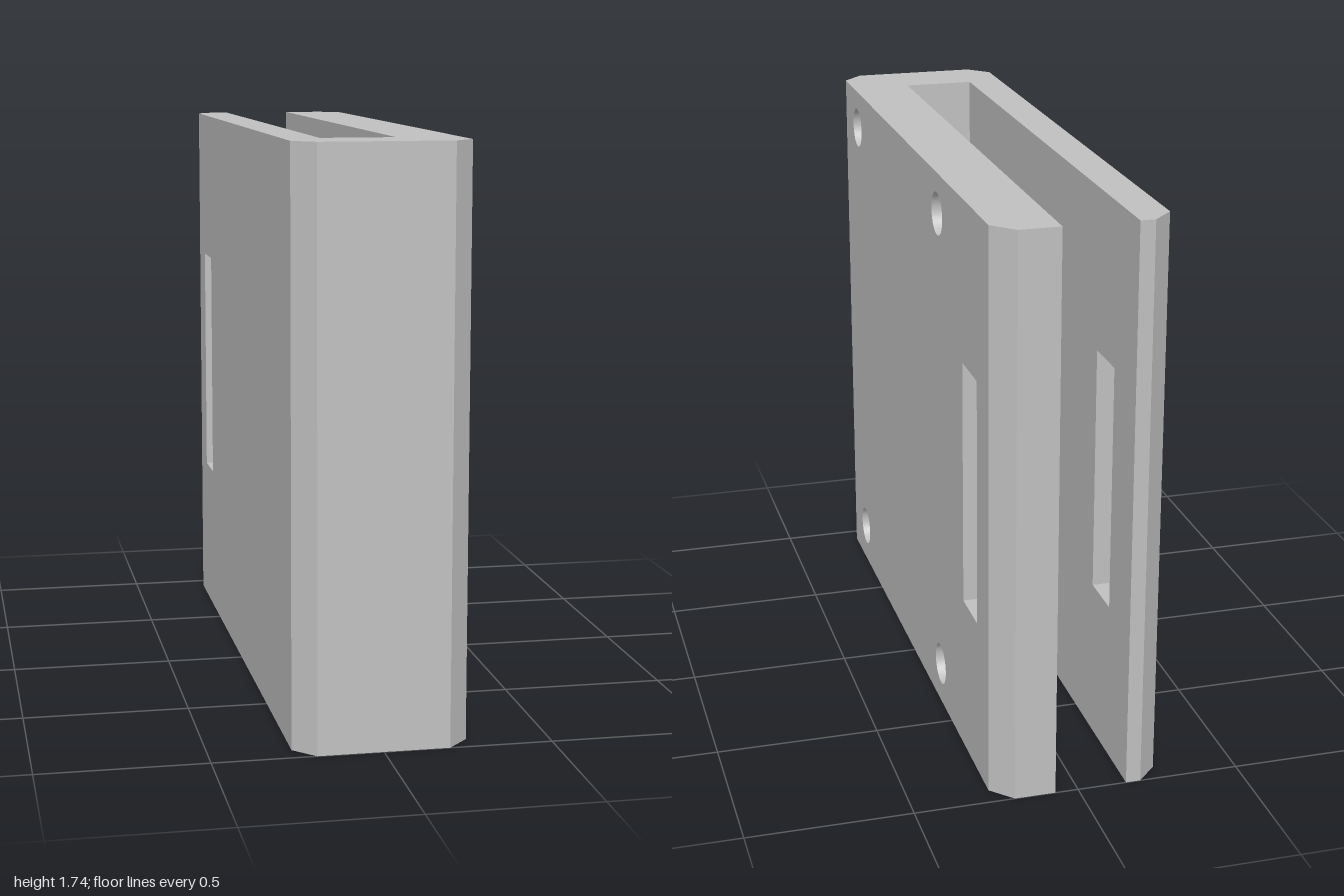
import * as THREE from 'three';

const H = 1.74;      // height
const EDGE = 0.935;  // where the corner chamfers begin along z
const gray = new THREE.MeshStandardMaterial({ color: 0xc0c0c0 });
gray.name = 'plain gray';

// Vertical prism from a plan outline given as [x, z] points
function prism(name, points) {
  const shape = new THREE.Shape(points.map(([x, z]) => new THREE.Vector2(x, -z)));
  const geo = new THREE.ExtrudeGeometry(shape, { depth: H, bevelEnabled: false });
  geo.rotateX(-Math.PI / 2);
  const mesh = new THREE.Mesh(geo, gray);
  mesh.name = name;
  return mesh;
}

// Upright slab between x0 and x1, cut by the slot and optionally the round sockets
function slab(name, x0, x1, sockets) {
  const rect = (S, z0, z1, y0, y1) => new S([[-z1, y0], [-z0, y0], [-z0, y1], [-z1, y1]]
    .map(p => new THREE.Vector2(...p)));
  const shape = rect(THREE.Shape, -EDGE, EDGE, 0, H);
  shape.holes.push(rect(THREE.Path, -0.81, -0.65, 0.49, 1.25));
  if (sockets) {
    for (const z of [0.755, -0.36]) for (const y of [0.13, 1.615]) {
      shape.holes.push(new THREE.Path().absarc(-z, y, 0.065, 0, Math.PI * 2, true));
    }
  }
  const geo = new THREE.ExtrudeGeometry(shape, { depth: x1 - x0, bevelEnabled: false, curveSegments: 32 });
  geo.rotateY(Math.PI / 2);
  geo.translate(x0, 0, 0);
  const mesh = new THREE.Mesh(geo, gray);
  mesh.name = name;
  return mesh;
}

export function createModel() {
  const model = new THREE.Group();
  model.name = 'slottedHolder';
  const W = 0.258, C = 0.195, inL = -0.15, inR = 0.07, floor = 0.12;

  // Side walls; the thick one has blind round sockets in its outer face
  model.add(slab('thinWall', -W, inL, false));
  model.add(slab('thickWallInner', inR, floor, false));
  model.add(slab('thickWallOuter', floor, W, true));

  // Closed front with chamfered corners
  model.add(prism('frontWall', [
    [inL, 0.8], [inL, EDGE], [-W, EDGE], [-C, 1], [C, 1], [W, EDGE], [inR, EDGE], [inR, 0.8],
  ]));

  // Chamfered rear edges of the walls
  model.add(prism('thinWallRearEdge', [[-W, -EDGE], [inL, -EDGE], [inL, -1], [-C, -1]]));
  model.add(prism('thickWallRearEdge', [[inR, -EDGE], [W, -EDGE], [C, -1], [inR, -1]]));
  return model;
}
